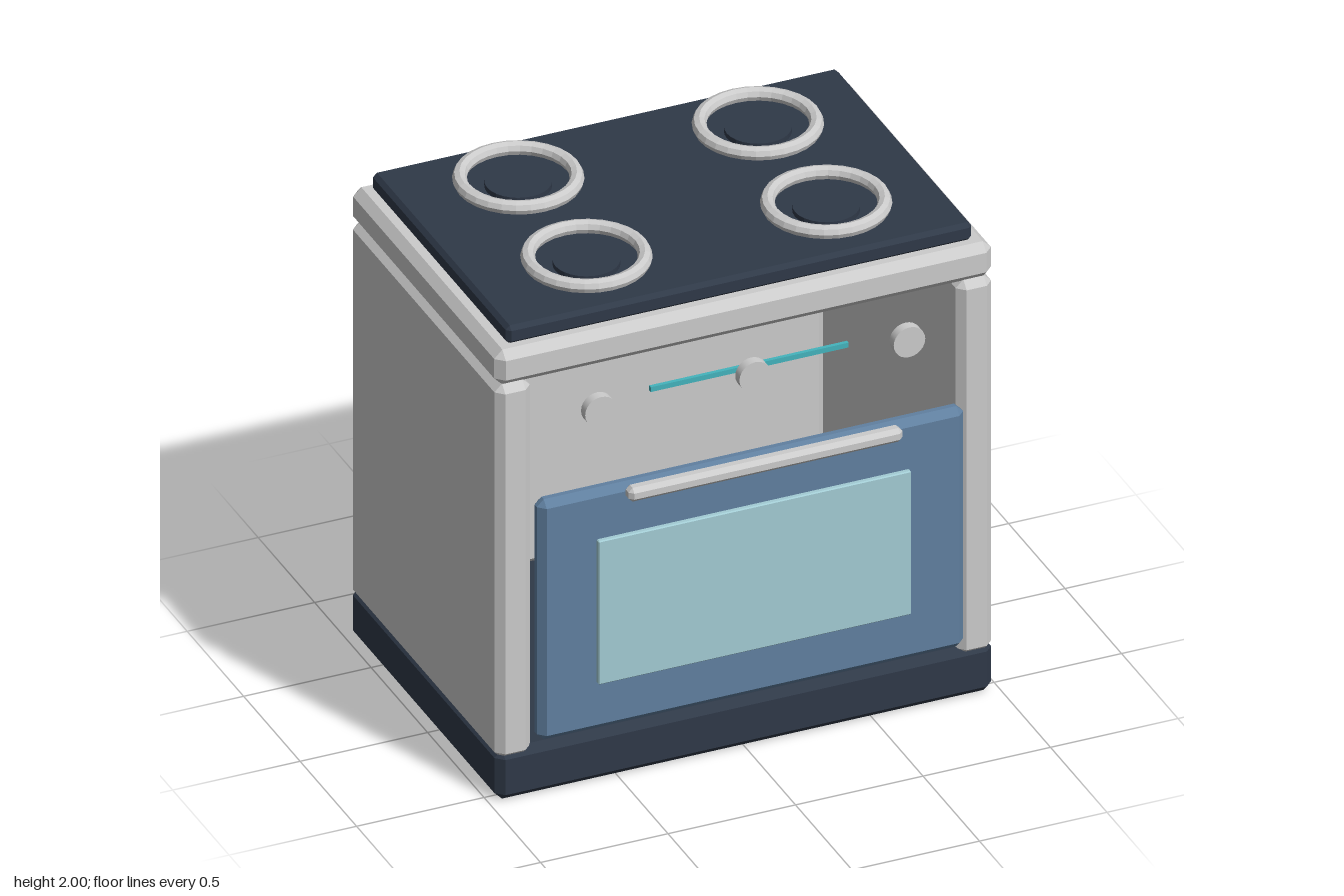
import * as THREE from 'three';
import { ConvexGeometry } from 'three/addons/geometries/ConvexGeometry.js';

const mat = (color) => new THREE.MeshStandardMaterial({ color, flatShading: true });

// Box given by its min/max on each axis, with all edges cut at 45 degrees by c
function chamferBox([x0, x1], [y0, y1], [z0, z1], c) {
  const half = [(x1 - x0) / 2, (y1 - y0) / 2, (z1 - z0) / 2];
  const points = [];
  for (const sx of [-1, 1]) for (const sy of [-1, 1]) for (const sz of [-1, 1]) {
    const s = [sx, sy, sz];
    for (let axis = 0; axis < 3; axis++) {
      points.push(new THREE.Vector3(...half.map((h, i) => s[i] * (i === axis ? h : h - c))));
    }
  }
  const geometry = new ConvexGeometry(points);
  geometry.translate((x0 + x1) / 2, (y0 + y1) / 2, (z0 + z1) / 2);
  return geometry;
}

export function createModel() {
  const stove = new THREE.Group();
  stove.name = 'stove';
  const grey = mat(0xcccccc);
  const dark = mat(0x2f3948);
  const blue = mat(0x6080a0);
  const glass = mat(0xa3ccd4);
  const teal = mat(0x44b4bd);

  const add = (name, geometry, material, parent = stove) => {
    const mesh = new THREE.Mesh(geometry, material);
    mesh.name = name;
    parent.add(mesh);
    return mesh;
  };

  // Open-fronted cabinet: plinth, two sides, back and top
  const depth = [-0.75, 0.563];
  add('plinth', chamferBox([-0.974, 0.974], [0, 0.206], depth, 0.03), dark);
  add('leftSide', chamferBox([0.835, 0.974], [0.17, 1.73], depth, 0.03), grey);
  add('rightSide', chamferBox([-0.974, -0.835], [0.17, 1.73], depth, 0.03), grey);
  add('backPanel', chamferBox([-0.835, 0.835], [0.2, 1.73], [-0.75, -0.611], 0.03), grey);
  add('topSlab', chamferBox([-0.974, 0.974], [1.725, 1.87], depth, 0.032), grey);
  add('cooktop', chamferBox([-0.913, 0.913], [1.865, 1.94], [-0.696, 0.51], 0.016), dark);

  // Oven door with window and handle
  add('ovenDoor', chamferBox([-0.836, 0.836], [0.25, 1.25], [0.55, 0.624], 0.027), blue);
  add('ovenWindow', chamferBox([-0.613, 0.613], [0.452, 1.05], [0.61, 0.642], 0.004), glass);
  add('doorHandle', chamferBox([-0.537, 0.537], [1.245, 1.302], [0.693, 0.75], 0.016), grey);

  // Control strip and knobs
  add('controlStrip', new THREE.BoxGeometry(0.776, 0.02, 0.015), teal).position.set(0, 1.604, 0.587);
  const knobGeometry = new THREE.CylinderGeometry(0.062, 0.062, 0.037, 24).rotateX(Math.PI / 2);
  const smoothGrey = new THREE.MeshStandardMaterial({ color: 0xcccccc });
  for (const x of [-0.605, 0, 0.605]) {
    add('knob', knobGeometry, smoothGrey).position.set(x, 1.59, 0.625);
  }

  // Four burners: a ring around a low dark plate
  const ringGeometry = new THREE.TorusGeometry(0.211, 0.027, 8, 28).rotateX(Math.PI / 2);
  const plateGeometry = new THREE.CylinderGeometry(0.122, 0.122, 0.03, 28);
  for (const x of [-0.47, 0.47]) for (const z of [-0.394, 0.21]) {
    const burner = new THREE.Group();
    burner.name = 'burner';
    burner.position.set(x, 1.94, z);
    add('burnerRing', ringGeometry, grey, burner).position.y = 0.033;
    add('burnerPlate', plateGeometry, dark, burner).position.y = 0.005;
    stove.add(burner);
  }
  return stove;
}
